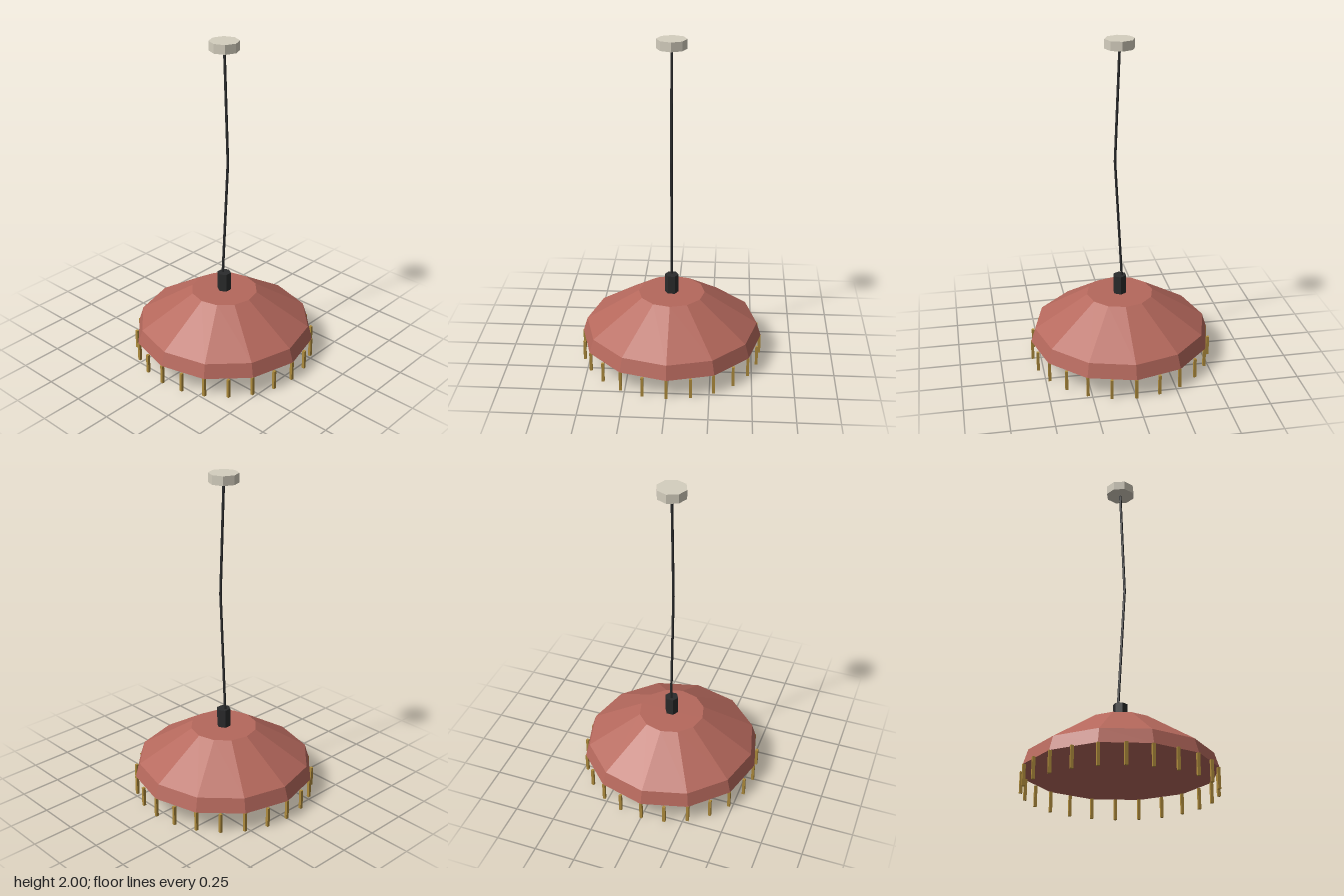
import * as THREE from 'three';

const paint = (name, color) => {
  const m = new THREE.MeshStandardMaterial({ color });
  m.name = name;
  m.flatShading = true;
  return m;
};

export function createModel() {
  const terracotta = paint('terracotta', 0xb5685c);
  const brass = paint('brass', 0xae8b3c);
  const black = paint('black', 0x2a2b2c);
  const ivory = paint('ivory', 0xd4cebe);

  const lamp = new THREE.Group();
  lamp.name = 'pendantLamp';
  const add = (name, geometry, material, x = 0, y = 0, z = 0, parent = lamp) => {
    const mesh = new THREE.Mesh(geometry, material);
    mesh.name = name;
    mesh.position.set(x, y, z);
    parent.add(mesh);
    return mesh;
  };

  // Ceiling canopy
  add('canopy', new THREE.CylinderGeometry(0.088, 0.088, 0.055, 8), ivory, 0, 1.9725, 0);

  // Cord: two straight runs with a slight kink
  const cordPoints = [[0, 1.96], [0.028, 1.27], [-0.014, 0.5]].map(([x, y]) => new THREE.Vector3(x, y, 0));
  for (let i = 0; i < 2; i++) {
    const a = cordPoints[i], b = cordPoints[i + 1];
    const dir = a.clone().sub(b);
    const mid = a.clone().add(b).multiplyScalar(0.5);
    const run = add('cord', new THREE.CylinderGeometry(0.008, 0.008, dir.length(), 6), black, mid.x, mid.y, 0);
    run.quaternion.setFromUnitVectors(new THREE.Vector3(0, 1, 0), dir.normalize());
  }

  // Lamp holder
  add('socket', new THREE.CylinderGeometry(0.042, 0.042, 0.125, 6), black, 0, 0.4695, 0);

  // Twelve-sided shade, closed top and bottom
  const profile = [[0, 0.122], [0.557, 0.122], [0.53, 0.208], [0.204, 0.415], [0, 0.415]];
  add('shade', new THREE.LatheGeometry(profile.map(([r, y]) => new THREE.Vector2(r, y)), 12), terracotta);

  // Fringe hanging round the rim
  const fringe = new THREE.Group();
  fringe.name = 'fringe';
  lamp.add(fringe);
  const strand = new THREE.BoxGeometry(0.017, 0.123, 0.017);
  for (let i = 0; i < 24; i++) {
    const a = (i / 24) * Math.PI * 2;
    add('fringeStrand', strand, brass, 0.55 * Math.sin(a), 0.0615, 0.55 * Math.cos(a), fringe);
  }
  return lamp;
}
